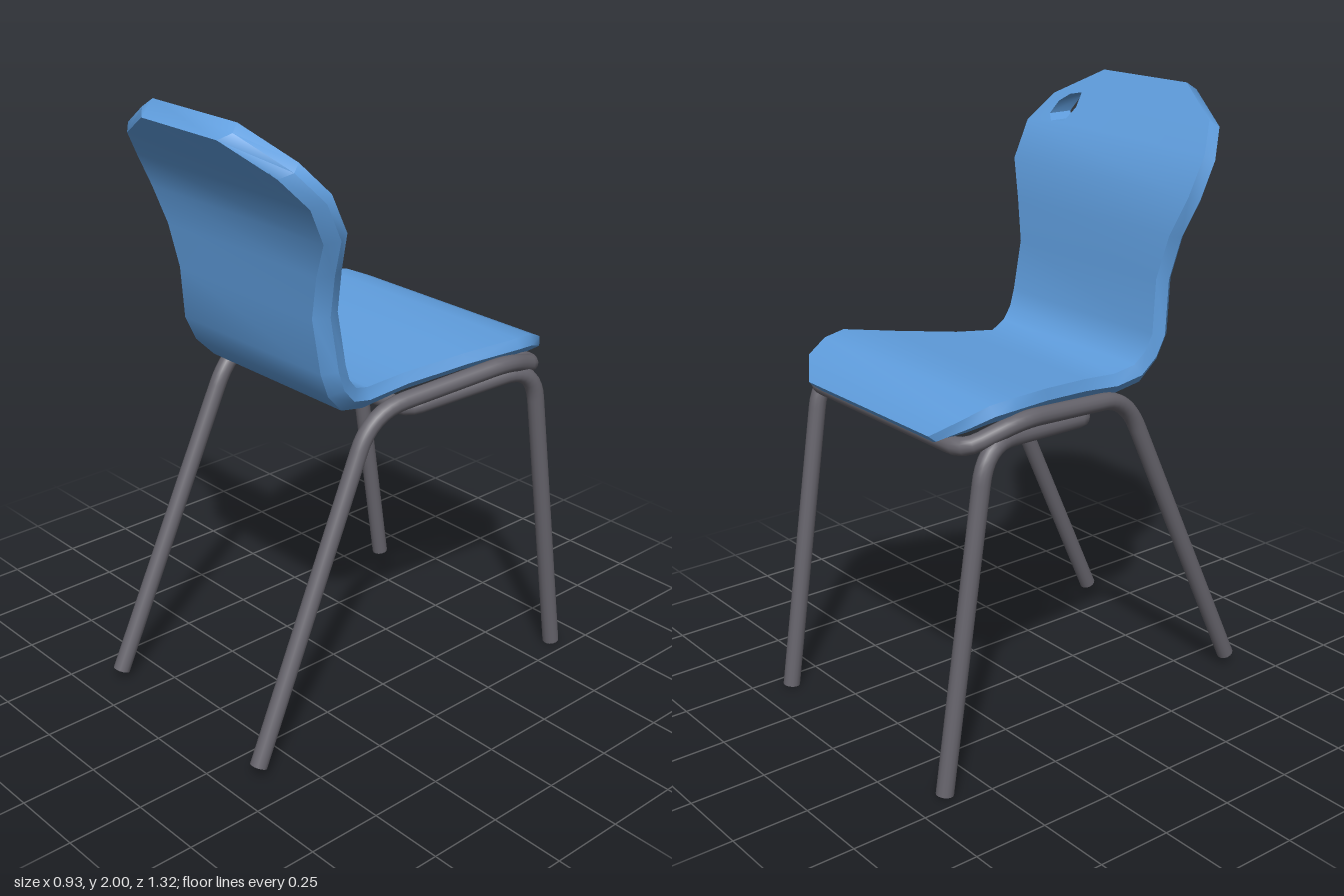
import * as THREE from 'three';
import { toCreasedNormals } from 'three/addons/utils/BufferGeometryUtils.js';

const shellMat = new THREE.MeshStandardMaterial({ color: 0x5f9ddd });
const frameMat = new THREE.MeshStandardMaterial({ color: 0x66646c });

// Sitting surface from seat front to backrest top: z, y, half width, thickness
const ROWS = [
  [-0.585, 1.105, 0.335, 0.045],
  [-0.53, 1.165, 0.42, 0.06],
  [-0.45, 1.2, 0.45, 0.065],
  [-0.37, 1.21, 0.462, 0.065],
  [-0.2, 1.187, 0.4, 0.065],
  [0, 1.16, 0.342, 0.068],
  [0.14, 1.145, 0.325, 0.075],
  [0.204, 1.166, 0.345, 0.08],
  [0.24, 1.205, 0.355, 0.08],
  [0.262, 1.26, 0.362, 0.082],
  [0.283, 1.43, 0.35, 0.082],
  [0.299, 1.57, 0.385, 0.08],
  [0.325, 1.696, 0.437, 0.075],
  [0.385, 1.82, 0.44, 0.072],
  [0.456, 1.91, 0.385, 0.072],
  [0.526, 2.0, 0.21, 0.072],
];

// Grip hole outline (x, y), cut straight through along z
const HOLE = [[0.25, 1.835], [0.31, 1.83], [0.335, 1.85], [0.325, 1.89], [0.29, 1.915], [0.24, 1.925], [0.228, 1.88]]
  .map(([x, y]) => new THREE.Vector2(x, y));

// Six-point cross-section with bevelled sides for every row
function sections() {
  const front = ROWS.map(([z, y]) => new THREE.Vector3(0, y, z));
  const back = front.map((p, i) => {
    const d = front[Math.min(i + 1, front.length - 1)].clone().sub(front[Math.max(i - 1, 0)]).normalize();
    return new THREE.Vector3(0, -d.z, d.y).multiplyScalar(ROWS[i][3]).add(p);
  });
  // keep the panel with the grip hole flat
  const n = ROWS.length;
  for (const line of [front, back]) line[n - 2].lerpVectors(line[n - 3], line[n - 1], 0.5);
  return front.map((f, i) => {
    const b = back[i], w = ROWS[i][2];
    const m = f.clone().lerp(b, 0.5);
    const at = (p, x) => new THREE.Vector3(x, p.y, p.z);
    return [at(f, 0.015 - w), at(f, w - 0.015), at(m, w), at(b, w - 0.035), at(b, 0.035 - w), at(m, -w)];
  });
}

function shellGeometry() {
  const pos = [];
  const tri = (...ps) => ps.forEach((p) => pos.push(p.x, p.y, p.z));
  const quad = (a, b, c, d) => { tri(a, b, c); tri(a, c, d); };
  const rows = sections(), n = rows.length;

  // skin between neighbouring rows
  for (let i = 0; i < n - 1; i++) {
    for (let k = 0; k < 6; k++) {
      if (i >= n - 3 && k % 3 === 0) continue;
      const j = (k + 1) % 6;
      quad(rows[i][k], rows[i + 1][k], rows[i + 1][j], rows[i][j]);
    }
  }
  // end caps
  for (let k = 1; k < 5; k++) {
    tri(rows[0][0], rows[0][k], rows[0][k + 1]);
    tri(rows[n - 1][0], rows[n - 1][k + 1], rows[n - 1][k]);
  }
  // flat top panels with the grip hole
  const rims = [[0, 1, -1], [3, 4, 1]].map(([k, j, side]) => {
    const top = rows.slice(n - 3);
    const outline = [...top.map((r) => r[k]), ...top.map((r) => r[j]).reverse()];
    const lo = top[0][k], hi = top[2][k];
    const contour = outline.map((p) => new THREE.Vector2(p.x, p.y));
    if (THREE.ShapeUtils.isClockWise(contour)) { contour.reverse(); }
    const lift = (p) => new THREE.Vector3(p.x, p.y, THREE.MathUtils.mapLinear(p.y, lo.y, hi.y, lo.z, hi.z));
    const hole = HOLE.slice().reverse();
    const all = [...contour, ...hole];
    for (const f of THREE.ShapeUtils.triangulateShape(contour, [hole])) {
      const [a, b, c] = f.map((v) => all[v]);
      const turn = b.clone().sub(a).cross(c.clone().sub(a));
      const t = [a, b, c].map(lift);
      if (turn * side < 0) t.reverse();
      tri(...t);
    }
    return HOLE.map(lift);
  });
  // walls of the grip hole
  HOLE.forEach((_, i) => {
    const j = (i + 1) % HOLE.length;
    quad(rims[0][i], rims[1][i], rims[1][j], rims[0][j]);
  });

  const g = new THREE.BufferGeometry();
  g.setAttribute('position', new THREE.Float32BufferAttribute(pos, 3));
  return toCreasedNormals(g, 0.72);
}

// Bent steel tube: straight runs joined by rounded corners, mirrored in x
function bentTube(name, half, bends) {
  const pts = half.map((p) => new THREE.Vector3(...p));
  const mirrored = pts.map((p) => new THREE.Vector3(-p.x, p.y, p.z)).reverse();
  const all = [...pts, ...mirrored];
  const radii = [...bends, ...bends.slice().reverse()];
  const path = new THREE.CurvePath();
  let from = all[0];
  for (let i = 1; i < all.length - 1; i++) {
    const p = all[i];
    const inP = all[i - 1].clone().sub(p).setLength(radii[i]).add(p);
    const outP = all[i + 1].clone().sub(p).setLength(radii[i]).add(p);
    path.add(new THREE.LineCurve3(from, inP));
    path.add(new THREE.QuadraticBezierCurve3(inP, p, outP));
    from = outP;
  }
  path.add(new THREE.LineCurve3(from, all[all.length - 1]));

  const group = new THREE.Group();
  group.name = name;
  const tube = new THREE.Mesh(new THREE.TubeGeometry(path, 160, 0.028, 14), frameMat);
  tube.name = name + 'Tube';
  group.add(tube);
  // closed feet
  for (const [end, next] of [[0, 1], [all.length - 1, all.length - 2]]) {
    const foot = new THREE.Mesh(new THREE.CircleGeometry(0.028, 14), frameMat);
    foot.name = name + 'Foot';
    foot.position.copy(all[end]);
    foot.lookAt(all[end].clone().multiplyScalar(2).sub(all[next]));
    group.add(foot);
  }
  return group;
}

export function createModel() {
  const chair = new THREE.Group();
  chair.name = 'chair';

  const shell = new THREE.Mesh(shellGeometry(), shellMat);
  shell.name = 'seatShell';
  chair.add(shell);

  // rear legs running along the seat sides and across under its front edge
  chair.add(bentTube('rearLegs',
    [[0.365, 0.035, 0.635], [0.345, 1.075, 0.155], [0.447, 1.137, -0.34], [0.4, 1.072, -0.52]],
    [0, 0.12, 0.07, 0.06]));
  // front legs bending back under the seat to a cross bar
  chair.add(bentTube('frontLegs',
    [[0.439, 0.004, -0.633], [0.439, 1.09, -0.468], [0.34, 1.042, 0]],
    [0, 0.12, 0.05]));
  return chair;
}
